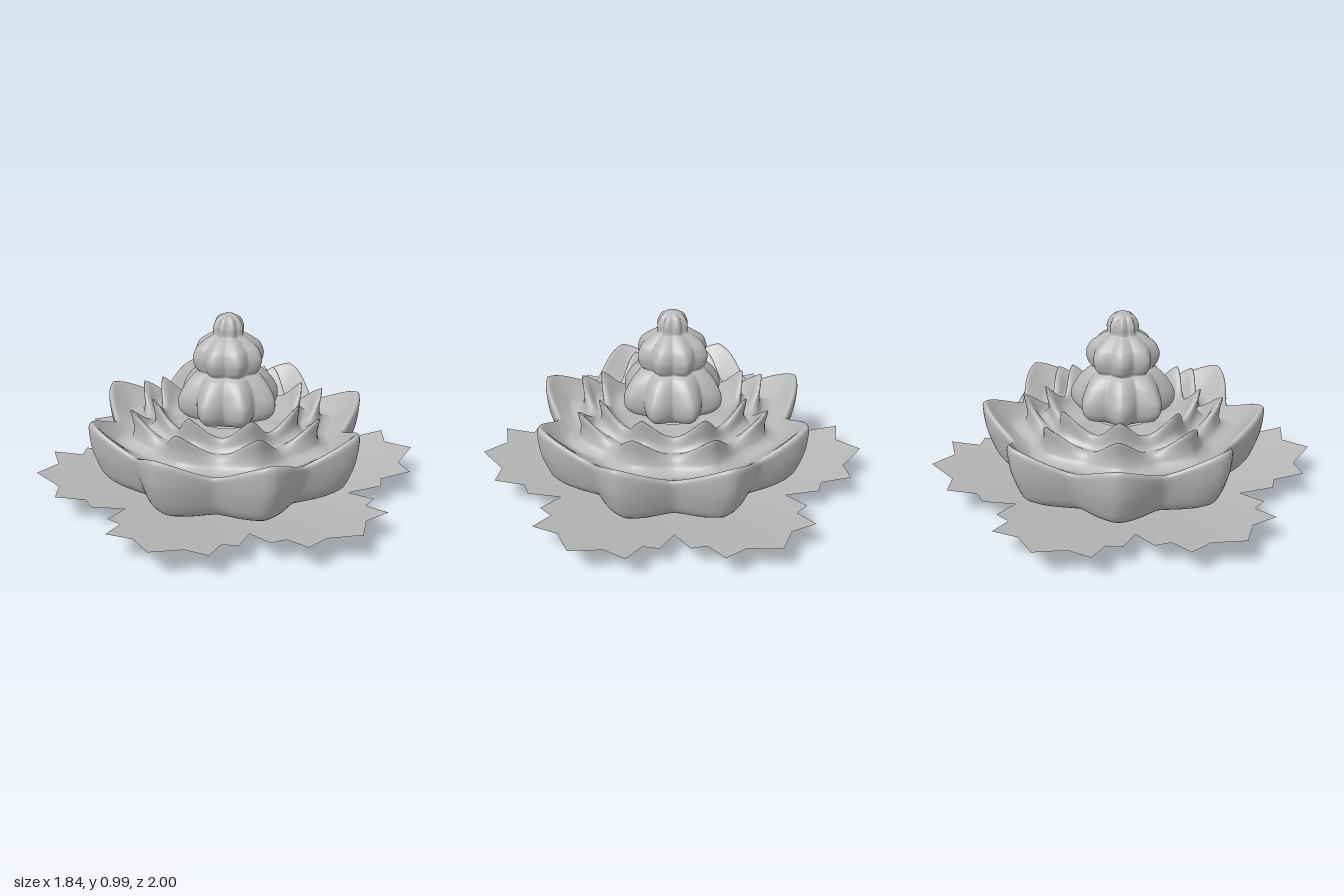
import * as THREE from 'three';

const LOBES = 8;

// Joins closed rows of points into one smooth skin.
function loft(rows) {
  const n = rows[0].length, pos = [], index = [];
  rows.forEach(row => row.forEach(p => pos.push(...p)));
  for (let i = 0; i < rows.length - 1; i++) {
    for (let j = 0; j < n; j++) {
      const k = (j + 1) % n;
      const a = i * n + j, b = i * n + k, c = a + n, d = b + n;
      index.push(a, b, d, a, d, c);
    }
  }
  const g = new THREE.BufferGeometry();
  g.setAttribute('position', new THREE.Float32BufferAttribute(pos, 3));
  g.setIndex(index);
  g.computeVertexNormals();
  return g;
}

// Eight-lobed turned form. Each station: [lobe radius, lobe y, groove radius, groove y, sharpness].
function lobedForm(stations, stepsPerStation = 4, perLobe = 18) {
  const lobe = new THREE.CatmullRomCurve3(stations.map(s => new THREE.Vector3(s[0], s[1], s[4])), false, 'catmullrom', 0.4);
  const groove = new THREE.CatmullRomCurve3(stations.map(s => new THREE.Vector3(s[2], s[3], 0)), false, 'catmullrom', 0.4);
  const rows = [], steps = (stations.length - 1) * stepsPerStation, n = LOBES * perLobe;
  for (let i = 0; i <= steps; i++) {
    const p = lobe.getPoint(i / steps), v = groove.getPoint(i / steps), row = [];
    for (let j = 0; j < n; j++) {
      const a = j / n * Math.PI * 2;
      const t = Math.abs((j % perLobe) / perLobe * 2 - 1); // 0 on the lobe, 1 in the groove
      const w = Math.pow(0.5 * (1 - t) + 0.25 * (1 + Math.cos(Math.PI * t)), p.z);
      const r = Math.max(0, v.x + (p.x - v.x) * w);
      row.push([r * Math.sin(a), v.y + (p.y - v.y) * w, r * Math.cos(a)]);
    }
    rows.push(row);
  }
  return loft(rows);
}

// Six jagged leaves spread in a shallow dish.
function leafDish() {
  const half = [[0.33, 0.57], [0.34, 0.735], [0.26, 0.76], [0.26, 0.91], [0.13, 0.89]];
  const leaf = [...half.map(([x, z]) => [-x, z]), [0, 1], ...half.slice(1).reverse()];
  const outline = [];
  for (let k = 0; k < 6; k++) {
    const c = Math.cos(k * Math.PI / 3), s = Math.sin(k * Math.PI / 3);
    leaf.forEach(([x, z]) => outline.push([x * c + z * s, z * c - x * s]));
  }
  const height = r => r < 0.4 ? 0.125 * r : 0.05 + 0.2 * (r - 0.4);
  return loft([1, 0.8, 0.6, 0.45, 0.25, 0].map(f =>
    outline.map(([x, z]) => [x * f, height(Math.hypot(x, z) * f), z * f])));
}

export function createModel() {
  const stone = new THREE.MeshStandardMaterial({ color: 0xb8b8b8, side: THREE.DoubleSide });
  stone.name = 'grey stone';
  const group = new THREE.Group();
  group.name = 'lotus';
  const add = (name, geometry) => {
    const mesh = new THREE.Mesh(geometry, stone);
    mesh.name = name;
    group.add(mesh);
  };

  add('leaves', leafDish());

  // Outer bowl, then three rings of petal tips stepping inwards
  add('petals', lobedForm([
    [0.40, 0.07, 0.38, 0.07, 1],
    [0.58, 0.12, 0.50, 0.12, 1],
    [0.66, 0.18, 0.55, 0.18, 1],
    [0.715, 0.32, 0.585, 0.28, 1],
    [0.73, 0.45, 0.60, 0.35, 1],
    [0.71, 0.475, 0.585, 0.365, 1],
    [0.66, 0.42, 0.55, 0.345, 1],
    [0.58, 0.35, 0.50, 0.33, 1],
    [0.51, 0.37, 0.46, 0.35, 1.1],
    [0.50, 0.44, 0.44, 0.38, 1.2],
    [0.515, 0.52, 0.42, 0.395, 1.4],
    [0.48, 0.49, 0.40, 0.395, 1.4],
    [0.43, 0.41, 0.375, 0.39, 1.2],
    [0.385, 0.45, 0.36, 0.41, 1.2],
    [0.40, 0.565, 0.345, 0.445, 1.4],
    [0.365, 0.53, 0.325, 0.45, 1.4],
    [0.30, 0.44, 0.28, 0.42, 1],
    [0.15, 0.42, 0.15, 0.42, 1]
  ]));

  // Central bud: two ribbed tiers and a small cap
  add('bud', lobedForm([
    [0.15, 0.43, 0.15, 0.43, 1],
    [0.225, 0.455, 0.18, 0.46, 0.8],
    [0.262, 0.50, 0.20, 0.50, 0.8],
    [0.264, 0.56, 0.205, 0.56, 0.8],
    [0.225, 0.63, 0.185, 0.63, 0.8],
    [0.18, 0.675, 0.155, 0.675, 0.8],
    [0.155, 0.69, 0.135, 0.69, 0.8],
    [0.175, 0.715, 0.145, 0.715, 0.8],
    [0.187, 0.765, 0.155, 0.765, 0.8],
    [0.165, 0.82, 0.14, 0.82, 0.8],
    [0.105, 0.865, 0.09, 0.865, 0.8],
    [0.08, 0.88, 0.07, 0.88, 0.8],
    [0.08, 0.92, 0.066, 0.92, 0.8],
    [0.062, 0.96, 0.05, 0.96, 0.8],
    [0.03, 0.98, 0.026, 0.98, 1],
    [0, 0.985, 0, 0.985, 1]
  ]));

  return group;
}
